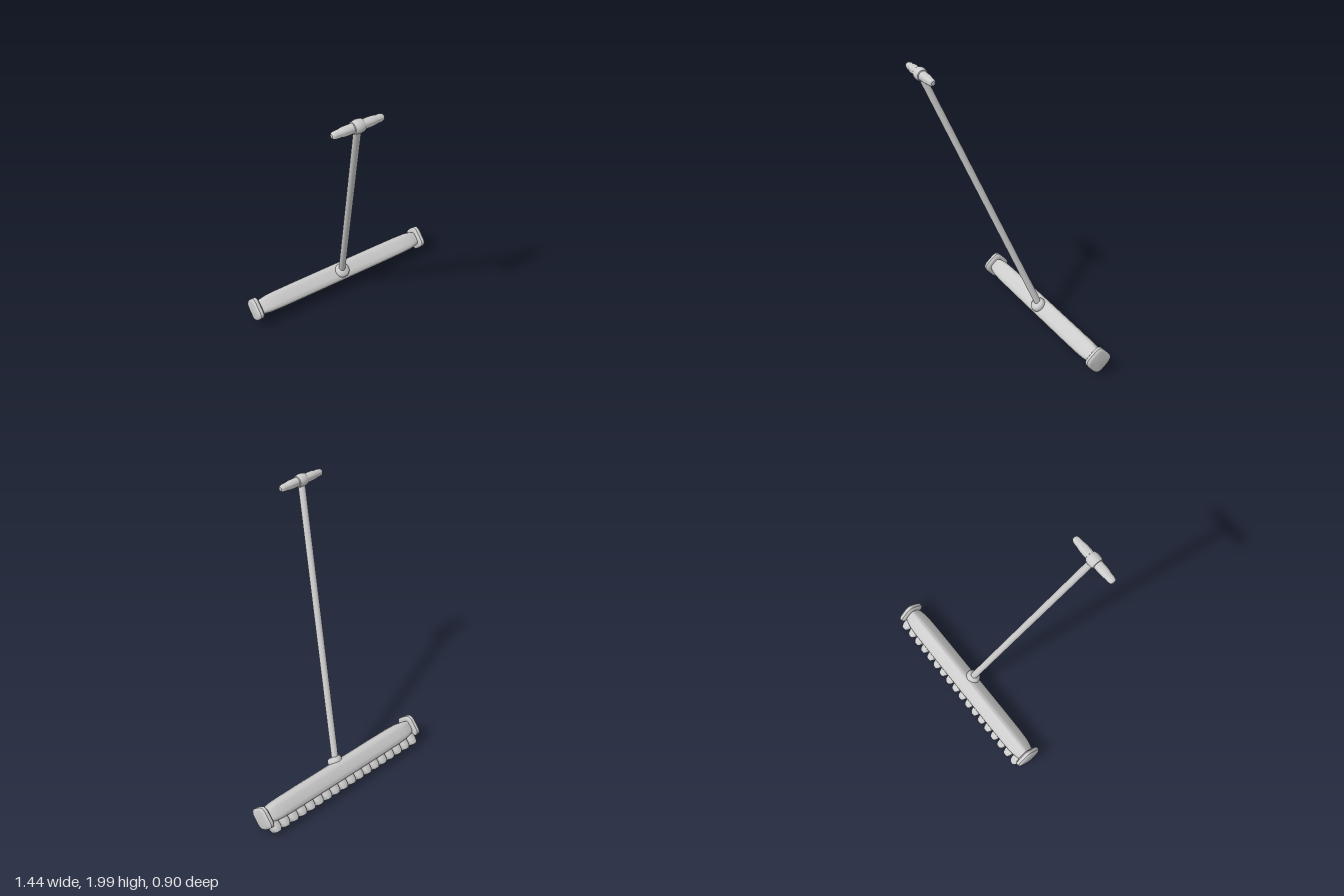
import * as THREE from 'three';
import { toCreasedNormals } from 'three/addons/utils/BufferGeometryUtils.js';

const grey = new THREE.MeshStandardMaterial({ color: 0xcccccc });
grey.name = 'light grey';

// Loft of rounded squares along x; each section is [x, half height, half depth]
function loft(sections, seg = 32) {
  const pos = [], idx = [];
  const round = (v) => Math.sign(v) * Math.sqrt(Math.abs(v));
  const first = sections[0], last = sections[sections.length - 1];
  const rings = [[first[0], 0, 0], ...sections, [last[0], 0, 0]];
  rings.forEach(([x, h, d], i) => {
    for (let j = 0; j < seg; j++) {
      const a = (j / seg) * Math.PI * 2;
      pos.push(x, h * round(Math.cos(a)), d * round(Math.sin(a)));
      if (i === rings.length - 1) continue;
      const k = (j + 1) % seg, p = i * seg, q = p + seg;
      if (i > 0) idx.push(p + j, p + k, q + j);
      if (i < rings.length - 2) idx.push(p + k, q + k, q + j);
    }
  });
  // Close the last end
  const p = (rings.length - 2) * seg;
  for (let j = 0; j < seg; j++) idx.push(p + j, p + (j + 1) % seg, p + seg + j);
  const g = new THREE.BufferGeometry();
  g.setAttribute('position', new THREE.Float32BufferAttribute(pos, 3));
  g.setIndex(idx);
  return toCreasedNormals(g, 0.7);
}

// Turned part from [radius, height] points
function turned(points, seg = 24) {
  const g = new THREE.LatheGeometry(points.map(([r, y]) => new THREE.Vector2(r, y)), seg);
  return toCreasedNormals(g, 0.7);
}

function add(parent, name, geometry, x = 0, y = 0, z = 0) {
  const mesh = new THREE.Mesh(geometry, grey);
  mesh.name = name;
  mesh.position.set(x, y, z);
  parent.add(mesh);
  return mesh;
}

export function createModel() {
  const broom = new THREE.Group();
  broom.name = 'pushBroom';

  // Tilted head: local -y points to the bristle tips
  const head = new THREE.Group();
  head.name = 'head';
  head.position.set(0, 0.122, -0.338);
  head.rotation.x = THREE.MathUtils.degToRad(42);
  broom.add(head);

  // Head block, tapering toward the ends
  const half = [[0, 0.067], [0.35, 0.067], [0.52, 0.066], [0.6, 0.063], [0.65, 0.055], [0.69, 0.042]];
  const block = [...half.slice(1).reverse().map(([x, s]) => [-x, s, s]), ...half.map(([x, s]) => [x, s, s])];
  add(head, 'headBlock', loft(block));

  // End caps
  const cap = loft([[-0.023, 0.06, 0.06], [-0.02, 0.07, 0.07], [-0.011, 0.079, 0.079],
    [0.011, 0.079, 0.079], [0.02, 0.07, 0.07], [0.023, 0.06, 0.06]]);
  for (const side of [-1, 1]) add(head, side > 0 ? 'leftEndCap' : 'rightEndCap', cap, side * 0.697);

  // Row of bristle tufts
  const tuft = loft([[0.05, 0.034, 0.038], [0.09, 0.034, 0.042], [0.113, 0.029, 0.041], [0.125, 0.021, 0.036]], 16);
  tuft.rotateZ(-Math.PI / 2);
  const count = 18;
  for (let i = 0; i < count; i++) add(head, 'bristleTuft', tuft, (i - (count - 1) / 2) * 0.0765);

  // Socket on top of the head
  add(head, 'socket', turned([[0.046, 0.045], [0.052, 0.06], [0.052, 0.08], [0.046, 0.094], [0.034, 0.102], [0, 0.102]]));

  // Slanted pole
  const bottom = new THREE.Vector3(0, 0.18, -0.295);
  const top = new THREE.Vector3(-0.33, 1.955, 0.41);
  const dir = top.clone().sub(bottom);
  const pole = add(broom, 'pole', new THREE.CylinderGeometry(0.024, 0.024, dir.length(), 24));
  pole.position.copy(bottom).add(top).multiplyScalar(0.5);
  pole.quaternion.setFromUnitVectors(new THREE.Vector3(0, 1, 0), dir.normalize());

  // Cross handle: two grips and a hub
  const handle = new THREE.Group();
  handle.name = 'handle';
  handle.position.copy(top);
  broom.add(handle);
  const grip = turned([[0.032, 0], [0.032, 0.09], [0.03, 0.115], [0.027, 0.125],
    [0.026, 0.155], [0.022, 0.173], [0.013, 0.182], [0, 0.183]]);
  for (const side of [-1, 1]) {
    add(handle, side > 0 ? 'leftGrip' : 'rightGrip', grip).rotation.z = -side * Math.PI / 2;
  }
  const hub = turned([[0.03, -0.038], [0.038, -0.035], [0.043, -0.02], [0.045, 0],
    [0.043, 0.02], [0.038, 0.035], [0.03, 0.038]]);
  add(handle, 'handleHub', hub).rotation.z = -Math.PI / 2;

  return broom;
}
